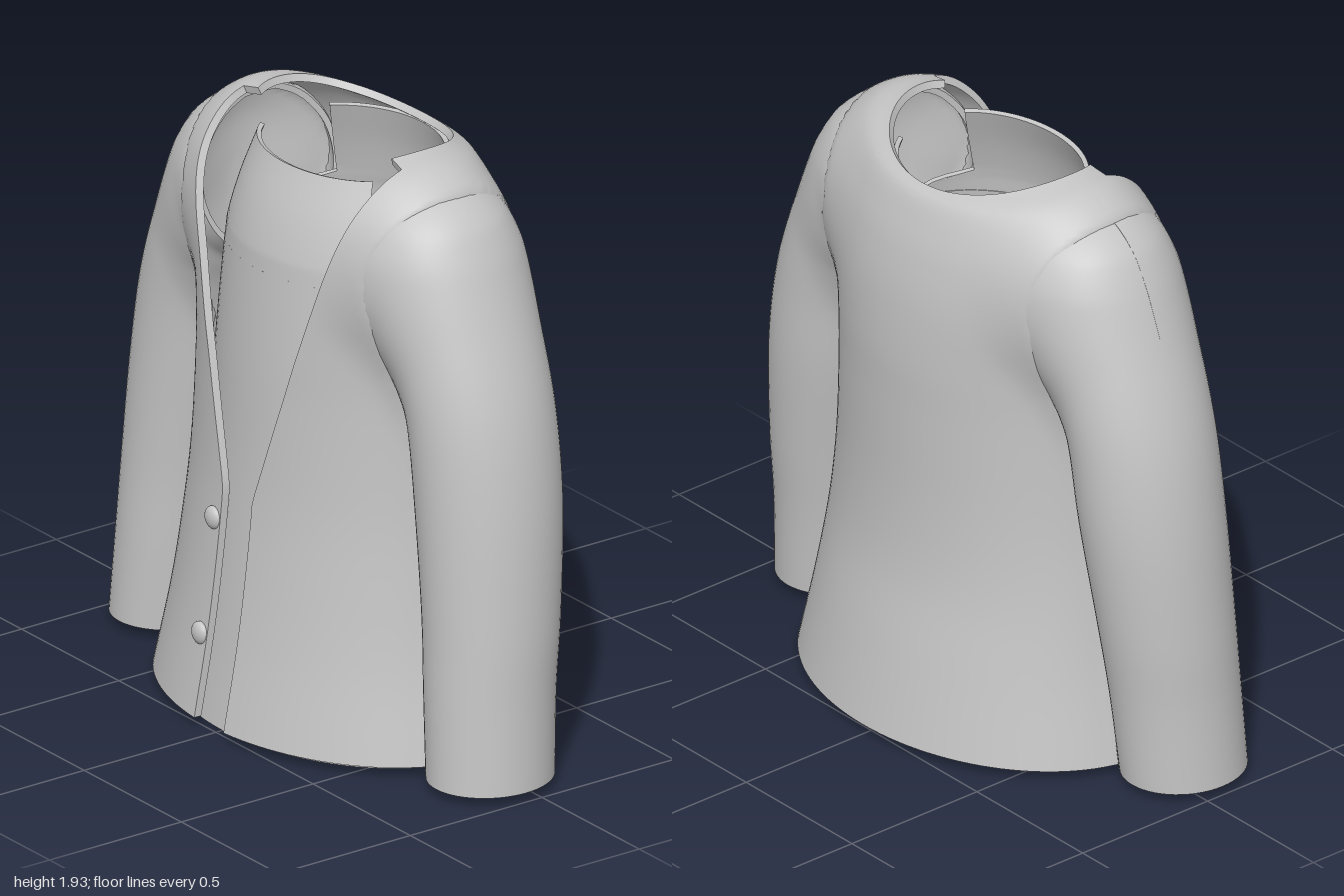
import * as THREE from 'three';
import { toCreasedNormals } from 'three/addons/utils/BufferGeometryUtils.js';

// Cardigan body sections: y, half width, front depth, back depth, lift at the sides
const COAT = [
  [0.03, 0.70, 0.53, 0.53, 0], [0.3, 0.64, 0.48, 0.48, 0], [0.55, 0.60, 0.445, 0.435, 0],
  [0.8, 0.57, 0.42, 0.42, 0], [1.1, 0.55, 0.41, 0.425, 0], [1.3, 0.55, 0.41, 0.43, 0],
  [1.5, 0.58, 0.40, 0.42, 0], [1.65, 0.585, 0.38, 0.395, 0.01], [1.75, 0.55, 0.355, 0.365, 0.03],
  [1.82, 0.47, 0.31, 0.335, 0.06], [1.85, 0.36, 0.27, 0.30, 0.07],
];
// Sleeve sections: outer x, y, inner x, y, half depth, z centre
const SLEEVE = [
  [1.0, 0.03, 0.63, 0.03, 0.205, 0.06], [0.985, 0.3, 0.60, 0.3, 0.21, 0.045],
  [0.975, 0.55, 0.57, 0.55, 0.22, 0.025], [0.945, 0.9, 0.52, 0.88, 0.235, 0.005],
  [0.89, 1.2, 0.49, 1.1, 0.24, 0], [0.795, 1.47, 0.46, 1.22, 0.245, 0],
  [0.7, 1.67, 0.43, 1.28, 0.25, 0], [0.62, 1.78, 0.41, 1.31, 0.25, 0],
  [0.53, 1.83, 0.38, 1.33, 0.25, 0], [0.45, 1.83, 0.36, 1.34, 0.24, 0],
];
// Undershirt sections: y, half width, front depth, back depth
const TOP = [
  [0, 0.63, 0.475, 0.475], [0.3, 0.575, 0.435, 0.435], [0.8, 0.50, 0.385, 0.385],
  [1.2, 0.46, 0.365, 0.37], [1.5, 0.425, 0.345, 0.365],
  [1.58, 0.41, 0.335, 0.355], [1.7, 0.375, 0.30, 0.335], [1.83, 0.33, 0.245, 0.30],
];

const V3 = (x, y, z) => new THREE.Vector3(x, y, z);

// Smooth interpolation between section rows
function sample(rows, v) {
  const n = rows.length - 1;
  const i = Math.min(Math.max(Math.floor(v), 0), n - 1), f = Math.min(Math.max(v - i, 0), 1);
  const [p, a, b, q] = [i - 1, i, i + 1, i + 2].map(k => rows[Math.min(Math.max(k, 0), n)]);
  return a.map((_, c) => {
    const m0 = i === 0 ? b[c] - a[c] : (b[c] - p[c]) / 2;
    const m1 = i === n - 1 ? b[c] - a[c] : (q[c] - a[c]) / 2;
    const d = b[c] - a[c];
    return a[c] + f * (m0 + f * (3 * d - 2 * m0 - m1 + f * (m0 + m1 - 2 * d)));
  });
}

const ringPoint = (t, [y, a, front, back, lift = 0]) => V3(
  a * Math.sin(t), y + lift * Math.sin(t) ** 2, Math.cos(t) * (Math.cos(t) > 0 ? front : back));

// Straight button edge below, V neckline above
const edgeX = y => y < 0.77 ? 0.075 : 0.075 + (y - 0.77) * 0.31;

function coatPoint(s, v) {
  const r = sample(COAT, v);
  const start = Math.min(Math.asin(Math.min(edgeX(r[0]) / r[1], 1)), 1.25);
  return ringPoint(start + s * (Math.PI * 2 - 2 * start), r);
}

function sleevePoint(s, v) {
  const [ox, oy, ix, iy, rz, cz] = sample(SLEEVE, v), t = s * Math.PI * 2;
  const c = Math.cos(t) / 2;
  return V3((ox + ix) / 2 + (ox - ix) * c, (oy + iy) / 2 + (oy - iy) * c, cz - rz * Math.sin(t));
}

// Approximate distances used to blend sleeve and body
function coatDistance(p) {
  if (p.y > 1.85) return 1;
  let i = 0;
  while (i < COAT.length - 2 && COAT[i + 1][0] < p.y) i++;
  const f = Math.max((p.y - COAT[i][0]) / (COAT[i + 1][0] - COAT[i][0]), 0);
  const mix = c => COAT[i][c] + (COAT[i + 1][c] - COAT[i][c]) * f;
  const a = mix(1), b = mix(p.z > 0 ? 2 : 3);
  return (Math.hypot(p.x / a, p.z / b) - 1) * Math.min(a, b);
}

const arm = SLEEVE.map(([ox, oy, ix, iy, rz, cz]) => ({
  c: V3((ox + ix) / 2, (oy + iy) / 2, cz), r: (Math.hypot(ox - ix, oy - iy) / 2 + rz) / 2,
}));
function sleeveDistance(p) {
  const q = V3(Math.abs(p.x), p.y, p.z);
  let best = 1;
  for (let i = 0; i < arm.length - 1; i++) {
    const A = arm[i], B = arm[i + 1], d = B.c.clone().sub(A.c);
    const f = THREE.MathUtils.clamp(q.clone().sub(A.c).dot(d) / d.lengthSq(), 0, 1);
    best = Math.min(best, q.distanceTo(A.c.clone().addScaledVector(d, f)) - A.r - (B.r - A.r) * f);
  }
  return best;
}

// Cloth with thickness over a surface fn(s, v); other() is the piece it blends into
function cloth(fn, nu, v0, v1, nv, thick, { other = null, side = 1 } = {}) {
  const pos = [], idx = [], M = 2 * (nu + 1), e = 1e-3;
  for (let j = 0; j <= nv; j++) {
    const v = v0 + (v1 - v0) * j / nv, outer = [], inner = [];
    for (let i = 0; i <= nu; i++) {
      const s = i / nu, p = fn(s, v);
      const du = fn(s + e, v).sub(fn(s - e, v));
      const dv = fn(s, Math.min(v + e, v1)).sub(fn(s, Math.max(v - e, v0)));
      const n = du.cross(dv).normalize();
      if (other) {
        const k = 0.02 + 0.14 * THREE.MathUtils.smoothstep(p.y, 0.95, 1.45);
        const h = Math.max(k - Math.abs(other(p)), 0) / k;
        p.addScaledVector(n, h * h * k / 4);
      }
      const q = p.clone().addScaledVector(n, -thick);
      if (j === 0) q.y = p.y; // level hem
      outer.push(p);
      inner.unshift(q);
    }
    for (const p of [...outer, ...inner]) pos.push(p.x * side, p.y, p.z);
  }
  const quad = (a, b, c, d) => side > 0 ? idx.push(a, b, c, a, c, d) : idx.push(a, c, b, a, d, c);
  for (let j = 0; j < nv; j++) for (let i = 0; i < M; i++) {
    const k = (i + 1) % M;
    quad(j * M + i, j * M + k, (j + 1) * M + k, (j + 1) * M + i);
  }
  // Hem and upper rim
  const top = nv * M;
  for (let i = 0; i < nu; i++) {
    quad(i + 1, i, M - 1 - i, M - 2 - i);
    quad(top + i, top + i + 1, top + M - 2 - i, top + M - 1 - i);
  }
  const g = new THREE.BufferGeometry();
  g.setAttribute('position', new THREE.Float32BufferAttribute(pos, 3));
  g.setIndex(idx);
  return toCreasedNormals(g, 0.9);
}

export function createModel() {
  const model = new THREE.Group();
  model.name = 'cardigan';
  const grey = new THREE.MeshStandardMaterial({ color: 0xc4c4c4, side: THREE.DoubleSide });
  grey.name = 'grey cloth';
  const add = (name, geometry) => {
    const mesh = new THREE.Mesh(geometry, grey);
    mesh.name = name;
    model.add(mesh);
    return mesh;
  };

  // Cardigan body and sleeves
  add('cardiganBody', cloth(coatPoint, 112, 0, COAT.length - 1, 70, 0.025, { other: sleeveDistance }));
  for (const side of [1, -1]) {
    add(side > 0 ? 'leftSleeve' : 'rightSleeve',
      cloth(sleevePoint, 56, 0, SLEEVE.length - 1, 60, 0.02, { other: coatDistance, side }));
  }

  // Undershirt: closed tube, then front and back panels between the armholes
  add('undershirtBody', cloth((s, v) => ringPoint(s * Math.PI * 2, sample(TOP, v)), 80, 0, 4, 28, 0.015));
  const half = v => v < 5 ? Math.PI / 2 - (v - 4) * 0.62 : 0.95 + (v - 5) * 0.06;
  for (const [name, mid] of [['undershirtFront', 0], ['undershirtBack', Math.PI]]) {
    add(name, cloth((s, v) => ringPoint(mid + (2 * s - 1) * half(v), sample(TOP, v)), 36, 4, 7, 15, 0.015));
  }

  // Buttons on the right front edge
  for (const [y, z] of [[0.655, 0.425], [0.285, 0.475]]) {
    const button = add('button', new THREE.SphereGeometry(0.037, 24, 16));
    button.scale.z = 0.55;
    button.position.set(-0.115, y, z);
  }
  return model;
}
